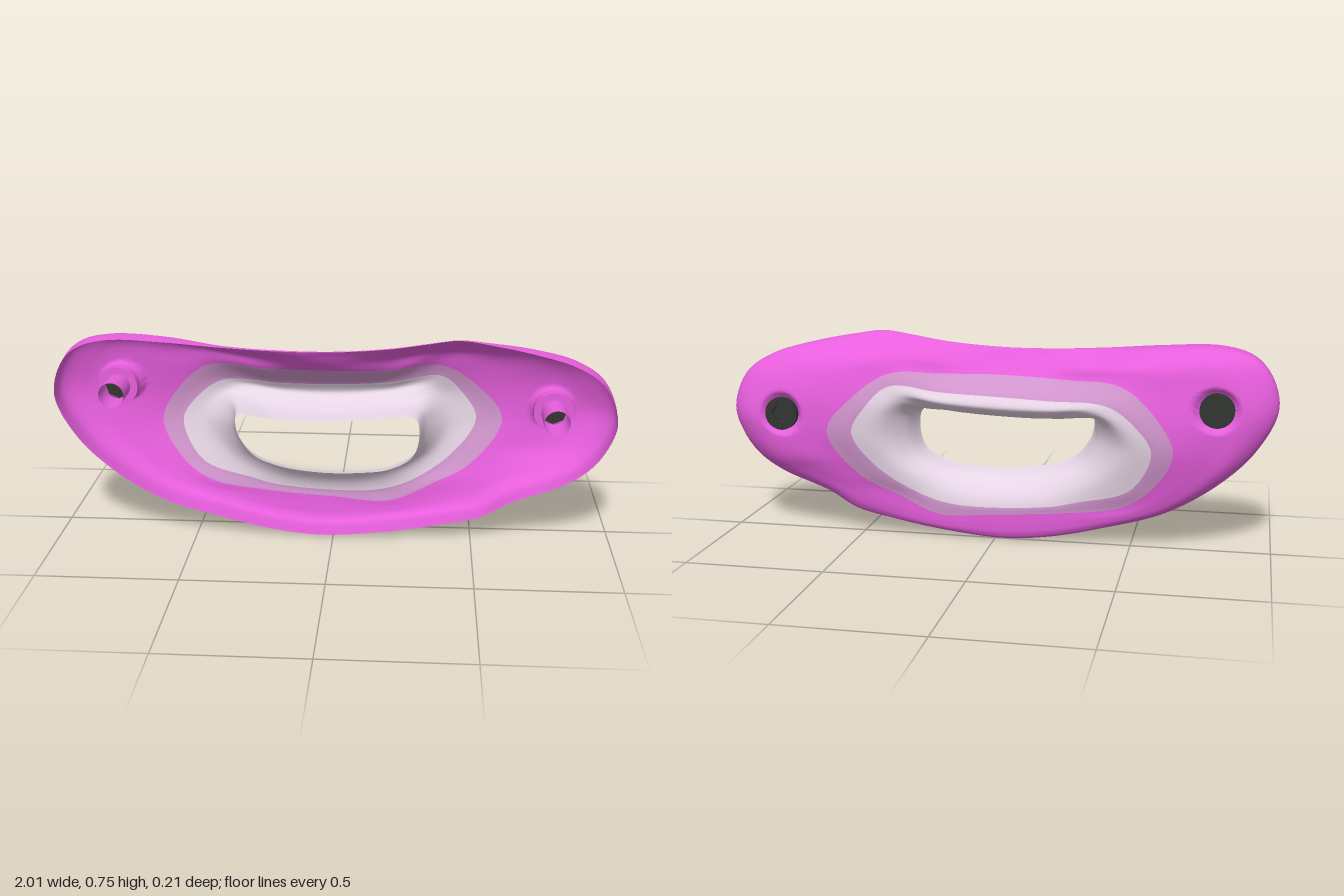
import * as THREE from 'three';

const paint = (name, color, side = THREE.FrontSide) => {
  const m = new THREE.MeshStandardMaterial({ color, side });
  m.name = name;
  return m;
};

const SEGS = 240, STEPS = 14, RIM = 0.105, CX = -0.02, CY = 0.36, SQUASH = 0.37;
const BOLTS = [[-0.795, 0.525, -0.074], [0.79, 0.455, -0.09]];

// Outer outline: x, y, then the depth at the wall top, the shoulder and the plateau
const OUTLINE = [
  [-1, 0.52, 0, -0.058, -0.08], [-0.97, 0.64, 0, -0.052, -0.074], [-0.91, 0.7, 0, -0.047, -0.07],
  [-0.8, 0.73, 0.015, -0.035, -0.068], [-0.6, 0.725, 0.03, -0.015, -0.055], [-0.4, 0.71, 0.08, 0.04, -0.01],
  [-0.2, 0.7, 0.09, 0.075, 0.045], [0, 0.7, 0.095, 0.08, 0.06], [0.2, 0.715, 0.095, 0.073, 0.04],
  [0.33, 0.735, 0.097, 0.06, 0.01], [0.44, 0.75, 0.097, 0.05, -0.01], [0.55, 0.735, 0.075, 0.02, -0.045],
  [0.7, 0.705, 0.035, -0.02, -0.065], [0.85, 0.66, 0.01, -0.04, -0.076], [0.95, 0.59, 0, -0.055, -0.086],
  [1, 0.46, 0, -0.07, -0.092], [0.97, 0.36, 0, -0.065, -0.09], [0.91, 0.28, 0, -0.055, -0.083],
  [0.82, 0.22, 0, -0.04, -0.065], [0.64, 0.15, 0, -0.033, -0.048], [0.53, 0.09, -0.005, -0.03, -0.042],
  [0.4, 0.06, -0.01, -0.028, -0.036], [0.2, 0.025, -0.01, -0.026, -0.032], [-0.03, 0.005, -0.01, -0.025, -0.031],
  [-0.2, 0.02, -0.01, -0.026, -0.032], [-0.4, 0.065, -0.01, -0.028, -0.036], [-0.62, 0.13, 0, -0.03, -0.044],
  [-0.8, 0.24, 0, -0.04, -0.06], [-0.93, 0.37, 0, -0.052, -0.072],
];
// Outer edge of the faded band
const BAND = [
  [-0.65, 0.37, -0.094], [-0.6, 0.48, -0.098], [-0.47, 0.595, -0.072], [-0.25, 0.605, -0.005], [0, 0.61, 0.028],
  [0.2, 0.61, 0.005], [0.38, 0.615, -0.055], [0.5, 0.54, -0.093], [0.61, 0.4, -0.098], [0.5, 0.235, -0.065],
  [0.36, 0.16, -0.042], [0.2, 0.09, -0.034], [0, 0.1, -0.034], [-0.26, 0.12, -0.036], [-0.47, 0.155, -0.043],
  [-0.58, 0.235, -0.065],
];
// Inner edge of the faded band
const GRIP = [
  [-0.575, 0.37, -0.1], [-0.53, 0.45, -0.105], [-0.42, 0.53, -0.096], [-0.2, 0.535, -0.055], [0, 0.54, -0.036],
  [0.2, 0.55, -0.043], [0.38, 0.57, -0.07], [0.46, 0.5, -0.1], [0.515, 0.4, -0.102], [0.44, 0.28, -0.077],
  [0.28, 0.17, -0.043], [0.14, 0.13, -0.036], [-0.2, 0.14, -0.037], [-0.31, 0.165, -0.042], [-0.5, 0.225, -0.064],
];
// Rolled lip, where the surface turns into the hole
const LIP = [
  [-0.48, 0.38, -0.088], [-0.44, 0.46, -0.095], [-0.36, 0.505, -0.09], [-0.2, 0.5, -0.07], [0, 0.5, -0.053],
  [0.2, 0.512, -0.058], [0.33, 0.525, -0.066], [0.39, 0.48, -0.083], [0.41, 0.38, -0.08], [0.35, 0.28, -0.055],
  [0.22, 0.205, -0.025], [0.1, 0.175, -0.02], [-0.1, 0.175, -0.02], [-0.25, 0.2, -0.028], [-0.4, 0.27, -0.055],
];
// Edge of the hole
const HOLE = [
  [-0.35, 0.42, 0.1], [-0.345, 0.462, 0.1], [-0.28, 0.458, 0.1], [-0.2, 0.445, 0.1], [0, 0.445, 0.1],
  [0.2, 0.46, 0.1], [0.27, 0.468, 0.1], [0.3, 0.45, 0.1], [0.305, 0.37, 0.1], [0.28, 0.31, 0.1],
  [0.2, 0.265, 0.1], [0.1, 0.25, 0.1], [-0.05, 0.248, 0.1], [-0.2, 0.27, 0.1], [-0.29, 0.31, 0.1], [-0.34, 0.38, 0.1],
];

// Resample a closed ring at even angles about the hole centre
function sampleRing(points) {
  const curve = new THREE.CatmullRomCurve3(points.map((p) => new THREE.Vector3(...p)), true, 'centripetal');
  const dense = curve.getPoints(600).map((p) => ({ p, a: Math.atan2((p.y - CY) / SQUASH, p.x - CX) }));
  const wrap = (a) => Math.atan2(Math.sin(a), Math.cos(a));
  return Array.from({ length: SEGS }, (_, i) => {
    const target = (i / SEGS) * Math.PI * 2;
    for (let k = 0; k < dense.length - 1; k++) {
      const d0 = wrap(dense[k].a - target), d1 = wrap(dense[k + 1].a - target);
      if (d0 >= 0 && d1 < 0 && d0 < 1) return dense[k].p.clone().lerp(dense[k + 1].p, d0 / (d0 - d1));
    }
    return dense.reduce((b, d) => (Math.abs(wrap(d.a - target)) < Math.abs(wrap(b.a - target)) ? d : b)).p.clone();
  });
}

// Open shell lofted from the rim, over the back, and through the hole
function shellGeometry() {
  const outline = (depth) => sampleRing(OUTLINE.map((p) => [p[0], p[1], depth(p)]));
  const band = sampleRing(BAND), lip = sampleRing(LIP), hole = sampleRing(HOLE);
  const inset = (ring, t) => ring.map((p, i) => {
    const q = p.clone().lerp(band[i], t);
    q.z = p.z;
    return q;
  });
  const throat = lip.map((p, i) => {
    const q = p.clone().lerp(hole[i], 0.72);
    q.z = THREE.MathUtils.lerp(p.z, 0.1, 0.45);
    return q;
  });
  const rings = [outline(() => RIM), outline((p) => p[2]), inset(outline((p) => p[3]), 0.2),
    inset(outline((p) => p[4]), 0.55), band, sampleRing(GRIP), lip, throat, hole];
  const rows = (rings.length - 1) * STEPS;
  const pos = [], index = [];
  for (let i = 0; i < SEGS; i++) {
    const path = new THREE.CatmullRomCurve3(rings.map((r) => r[i]), false, 'centripetal');
    for (const p of path.getPoints(rows)) {
      // Recess around each bolt
      for (const [x, y, z] of BOLTS) {
        const f = 1 - THREE.MathUtils.smoothstep(Math.hypot(p.x - x, p.y - y), 0.06, 0.082);
        p.z = THREE.MathUtils.lerp(p.z, z + 0.03, f);
      }
      pos.push(p.x, p.y, p.z);
    }
  }
  for (let j = 0; j < rows; j++) {
    for (let i = 0; i < SEGS; i++) {
      const a = i * (rows + 1) + j, b = ((i + 1) % SEGS) * (rows + 1) + j;
      index.push(a, a + 1, b, b, a + 1, b + 1);
    }
  }
  const g = new THREE.BufferGeometry();
  g.setAttribute('position', new THREE.Float32BufferAttribute(pos, 3));
  g.setIndex(index);
  g.computeVertexNormals();
  // Colour zones: body, faded band, grip
  const perRing = SEGS * STEPS * 6;
  g.addGroup(0, 4 * perRing, 0);
  g.addGroup(4 * perRing, perRing, 1);
  g.addGroup(5 * perRing, 3 * perRing, 2);
  return g;
}

// Round bolt head with a hexagonal socket
function headGeometry() {
  const shape = new THREE.Shape().absarc(0, 0, 0.061, 0, Math.PI * 2);
  const corners = Array.from({ length: 6 }, (_, k) =>
    new THREE.Vector2(0.036 * Math.cos((k * Math.PI) / 3), 0.036 * Math.sin((k * Math.PI) / 3)));
  shape.holes.push(new THREE.Path(corners));
  return new THREE.ExtrudeGeometry(shape, { depth: 0.02, bevelEnabled: false, curveSegments: 24 });
}

export function createModel() {
  const model = new THREE.Group();
  const pink = paint('pink body', 0xe85fde, THREE.DoubleSide);
  const faded = paint('faded pink', 0xd195cd, THREE.DoubleSide);
  const pale = paint('pale grip', 0xe6d5e5, THREE.DoubleSide);
  const dark = paint('bolt black', 0x323532);

  const add = (parent, name, geo, mat, z = 0) => {
    const m = new THREE.Mesh(geo, mat);
    m.name = name;
    m.position.z = z;
    parent.add(m);
  };
  const rod = (r, len, sides) => new THREE.CylinderGeometry(r, r, len, sides).rotateX(Math.PI / 2);

  add(model, 'shell', shellGeometry(), [pink, faded, pale]);

  BOLTS.forEach(([x, y, z], i) => {
    const bolt = new THREE.Group();
    bolt.name = i ? 'leftBolt' : 'rightBolt';
    bolt.position.set(x, y, 0);
    // Stepped sleeve inside the shell, one band per step to keep its edges sharp
    const sleeve = [[0.073, z + 0.03], [0.073, z + 0.07], [0.046, z + 0.07], [0.046, RIM]]
      .map((p) => new THREE.Vector2(...p));
    for (let k = 0; k < 3; k++) {
      add(bolt, 'sleeve', new THREE.LatheGeometry(sleeve.slice(k, k + 2), 24).rotateX(Math.PI / 2), pink);
    }
    // Head in its recess, and the shank that closes the socket and shows down the sleeve
    add(bolt, 'head', headGeometry(), dark, z + 0.006);
    add(bolt, 'shank', rod(0.05, 0.03, 8), dark, z + 0.038);
    model.add(bolt);
  });
  return model;
}
